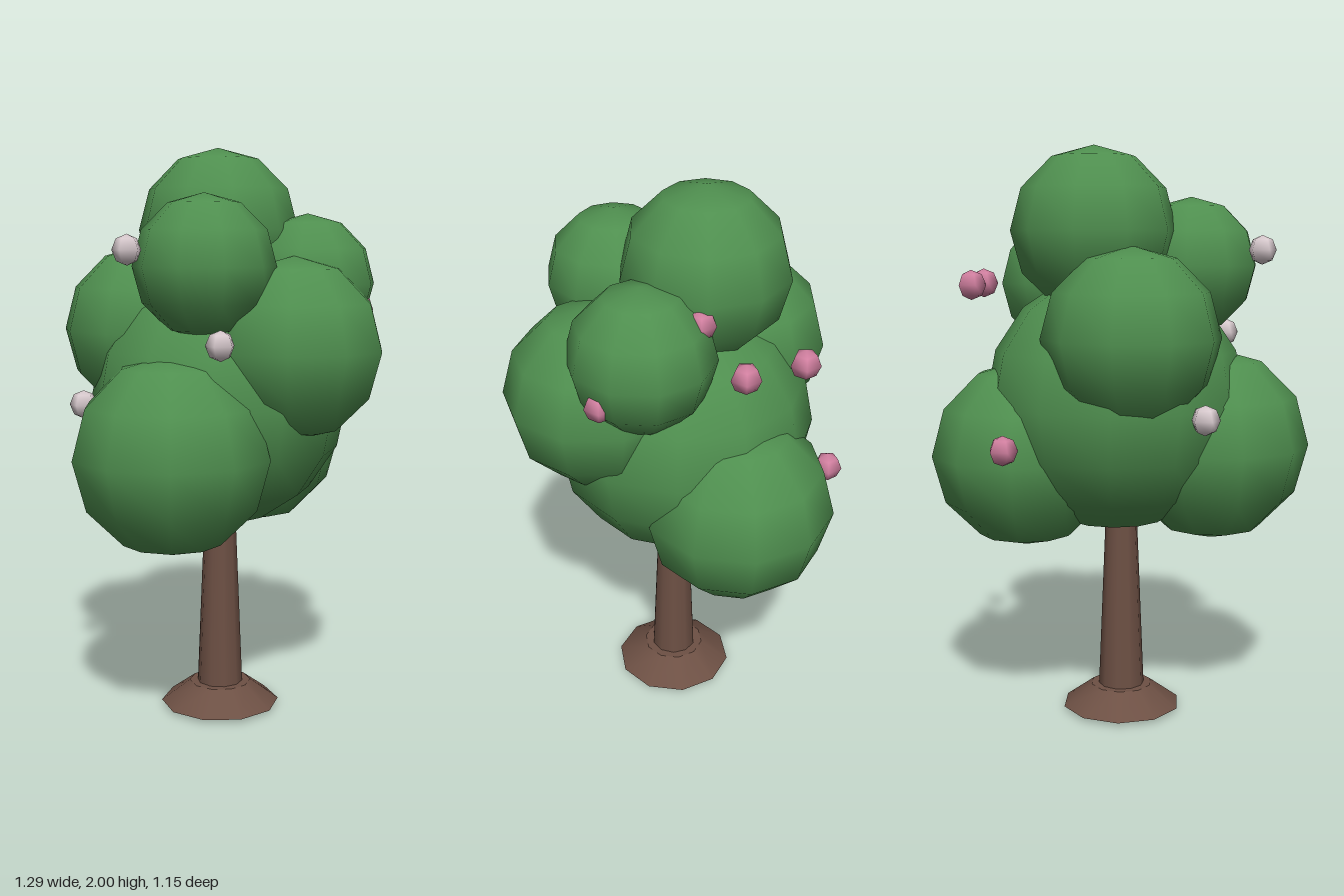
import * as THREE from 'three';

const leafGreen = new THREE.MeshStandardMaterial({ name: 'leafGreen', color: 0x4f8f4f });
const barkBrown = new THREE.MeshStandardMaterial({ name: 'barkBrown', color: 0x6d5044 });
const blossomPink = new THREE.MeshStandardMaterial({ name: 'blossomPink', color: 0xd07f9f });
const blossomWhite = new THREE.MeshStandardMaterial({ name: 'blossomWhite', color: 0xd8cace });

function add(parent, name, geometry, material, [x, y, z], turn = 0) {
  const mesh = new THREE.Mesh(geometry, material);
  mesh.name = name;
  mesh.position.set(x, y, z);
  mesh.rotation.y = THREE.MathUtils.degToRad(turn);
  parent.add(mesh);
  return mesh;
}

export function createModel() {
  const tree = new THREE.Group();
  tree.name = 'blossomTree';

  // Tapered trunk standing in a flared root collar
  add(tree, 'trunk', new THREE.CylinderGeometry(0.05, 0.085, 0.86, 10), barkBrown, [0.003, 0.43, -0.01]);
  add(tree, 'rootCollar', new THREE.CylinderGeometry(0.11, 0.213, 0.075, 10), barkBrown, [0.003, 0.05, -0.01], 9);

  // Foliage clumps: name, centre, radius, turn in degrees
  const foliage = new THREE.Group();
  foliage.name = 'foliage';
  tree.add(foliage);
  const clumps = [
    ['leftLowerClump', [0.32, 0.945, -0.13], 0.327, -10],
    ['rightLowerClump', [-0.31, 0.97, 0.06], 0.34, -28],
    ['frontClump', [0.06, 1.315, 0.275], 0.313, 0],
    ['backClump', [-0.09, 1.365, -0.28], 0.3, -18],
    ['leftUpperClump', [0.25, 1.53, 0.18], 0.242, -4],
    ['rightUpperClump', [-0.22, 1.595, 0.125], 0.238, -13],
    ['topClump', [0.08, 1.715, -0.09], 0.285, -18],
  ];
  add(foliage, 'centralClump', new THREE.SphereGeometry(0.455, 12, 8), leafGreen, [0.02, 1.13, -0.03], 10);
  for (const [name, centre, radius, turn] of clumps) {
    add(foliage, name, new THREE.SphereGeometry(radius, 10, 6), leafGreen, centre, turn);
  }

  // Small round blossoms scattered over the crown
  const blossoms = new THREE.Group();
  blossoms.name = 'blossoms';
  tree.add(blossoms);
  const blossomShape = new THREE.SphereGeometry(0.05, 5, 4);
  const pinkSpots = [
    [0.48, 1.535, -0.08], [0.455, 1.535, -0.285], [0.295, 1.01, -0.47],
    [0.35, 1.44, 0.345], [0.325, 1.655, 0.01],
  ];
  const whiteSpots = [[-0.48, 1.65, 0.035], [-0.32, 1.35, 0.29], [-0.345, 1.11, -0.34]];
  for (const spot of pinkSpots) add(blossoms, 'pinkBlossom', blossomShape, blossomPink, spot, -54);
  for (const spot of whiteSpots) add(blossoms, 'whiteBlossom', blossomShape, blossomWhite, spot, -54);

  return tree;
}
